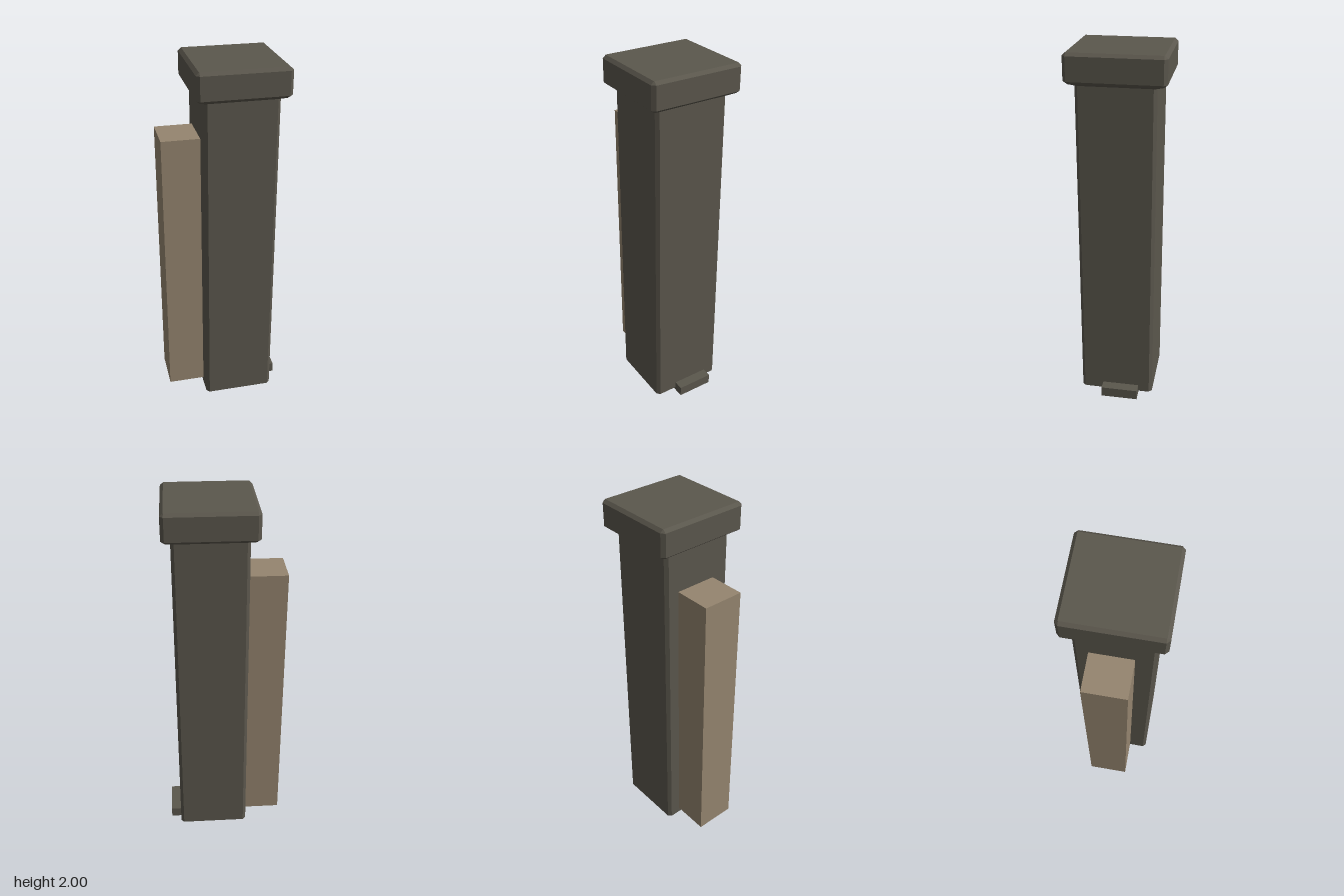
import * as THREE from 'three';

// Loft of chamfered rectangles; each ring is [y, halfX, halfZ, cornerCut]
function chamferedLoft(rings) {
  const pos = [];
  const loops = rings.map(([y, hx, hz, c]) => [
    [hx, y, hz - c], [hx, y, c - hz], [hx - c, y, -hz], [c - hx, y, -hz],
    [-hx, y, c - hz], [-hx, y, hz - c], [c - hx, y, hz], [hx - c, y, hz],
  ]);
  const tri = (a, b, c) => pos.push(...a, ...b, ...c);
  for (let r = 0; r < loops.length - 1; r++) {
    const lo = loops[r], hi = loops[r + 1];
    for (let i = 0; i < 8; i++) {
      const j = (i + 1) % 8;
      tri(lo[i], lo[j], hi[j]);
      tri(lo[i], hi[j], hi[i]);
    }
  }
  // End faces
  const bottom = loops[0], top = loops[loops.length - 1];
  for (let i = 1; i < 7; i++) {
    tri(top[0], top[i], top[i + 1]);
    tri(bottom[0], bottom[i + 1], bottom[i]);
  }
  const geo = new THREE.BufferGeometry();
  geo.setAttribute('position', new THREE.Float32BufferAttribute(pos, 3));
  geo.computeVertexNormals();
  return geo;
}

// Box given by its two opposite corners
function boxBetween([x0, y0, z0], [x1, y1, z1]) {
  return new THREE.BoxGeometry(x1 - x0, y1 - y0, z1 - z0)
    .translate((x0 + x1) / 2, (y0 + y1) / 2, (z0 + z1) / 2);
}

export function createModel() {
  const group = new THREE.Group();
  const darkMetal = new THREE.MeshStandardMaterial({ color: 0x5b574d });
  darkMetal.name = 'darkMetal';
  const tan = new THREE.MeshStandardMaterial({ color: 0x95856f });
  tan.name = 'tan';

  const add = (name, geometry, material) => {
    const mesh = new THREE.Mesh(geometry, material);
    mesh.name = name;
    group.add(mesh);
    return mesh;
  };

  // Tall square column with chamfered edges
  add('column', chamferedLoft([
    [0.005, 0.18, 0.19, 0.006],
    [0.02, 0.197, 0.207, 0.017],
    [1.84, 0.197, 0.207, 0.017],
  ]), darkMetal).position.set(0.073, 0, 0.002);

  // Wider cap with a sloping underside
  add('cap', chamferedLoft([
    [1.828, 0.19, 0.2, 0.015],
    [1.845, 0.224, 0.239, 0.006],
    [1.86, 0.243, 0.258, 0.018],
    [1.984, 0.243, 0.258, 0.018],
    [2.0, 0.226, 0.241, 0.002],
  ]), darkMetal).position.set(0.073, 0, -0.001);

  // Tall block on the right side
  add('sideBlock', boxBetween([-0.33, 0.05, -0.128], [-0.1, 1.615, 0.103]), tan);

  // Small foot tab on the left side
  add('footTab', boxBetween([0.25, 0, -0.125], [0.327, 0.058, 0.083]), darkMetal);

  return group;
}
